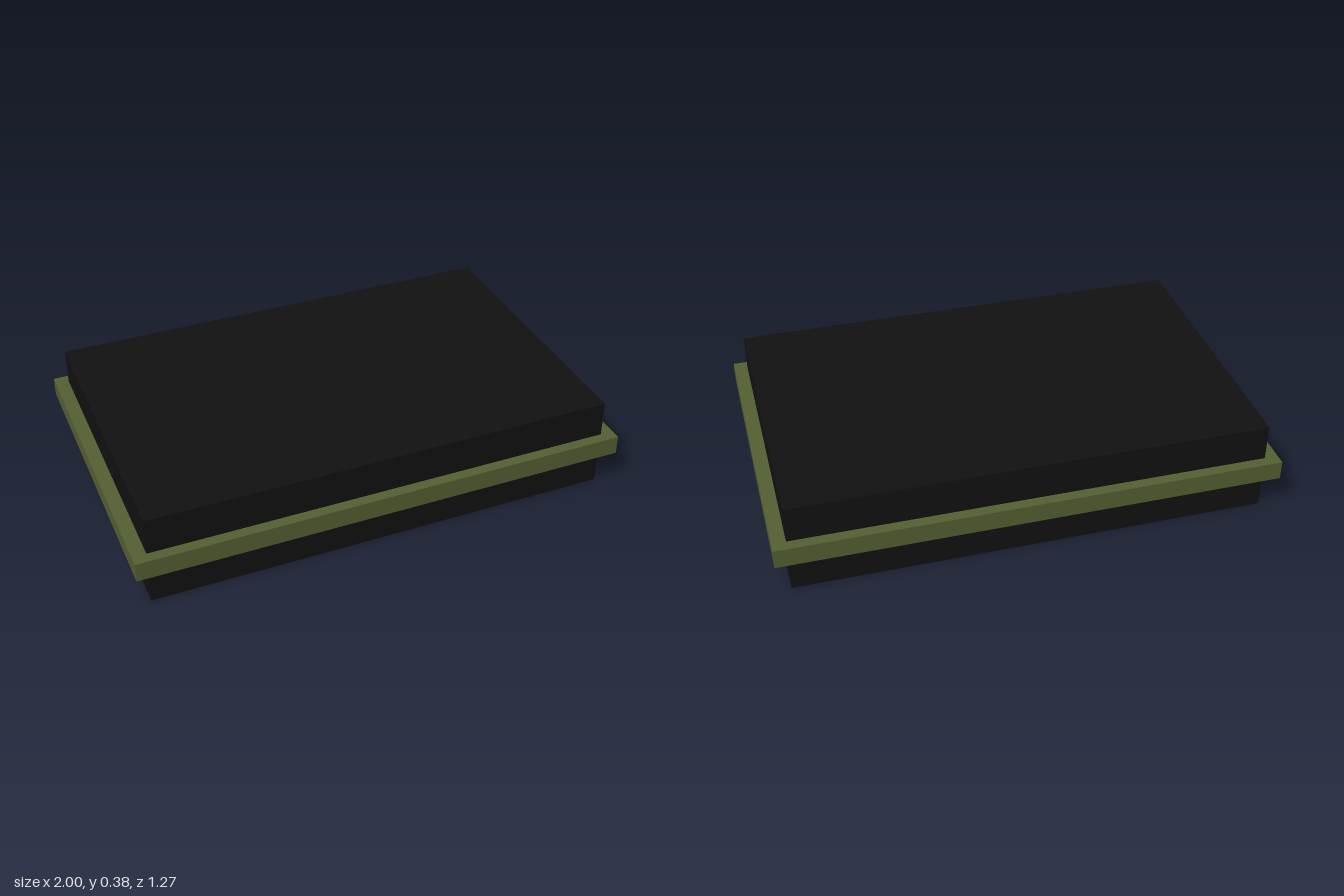
import * as THREE from 'three';

// Adds a named box centred on x and z, between two heights
function addSlab(group, name, width, depth, bottom, top, color) {
  const mesh = new THREE.Mesh(
    new THREE.BoxGeometry(width, top - bottom, depth),
    new THREE.MeshStandardMaterial({ color })
  );
  mesh.name = name;
  mesh.position.y = (bottom + top) / 2;
  group.add(mesh);
}

export function createModel() {
  const group = new THREE.Group();
  group.name = 'bandedBox';

  // Dark rectangular body
  addSlab(group, 'body', 1.89, 1.188, 0, 0.378, 0x111111);

  // Olive band projecting around the middle
  addSlab(group, 'band', 2, 1.274, 0.15, 0.229, 0x556033);

  return group;
}
